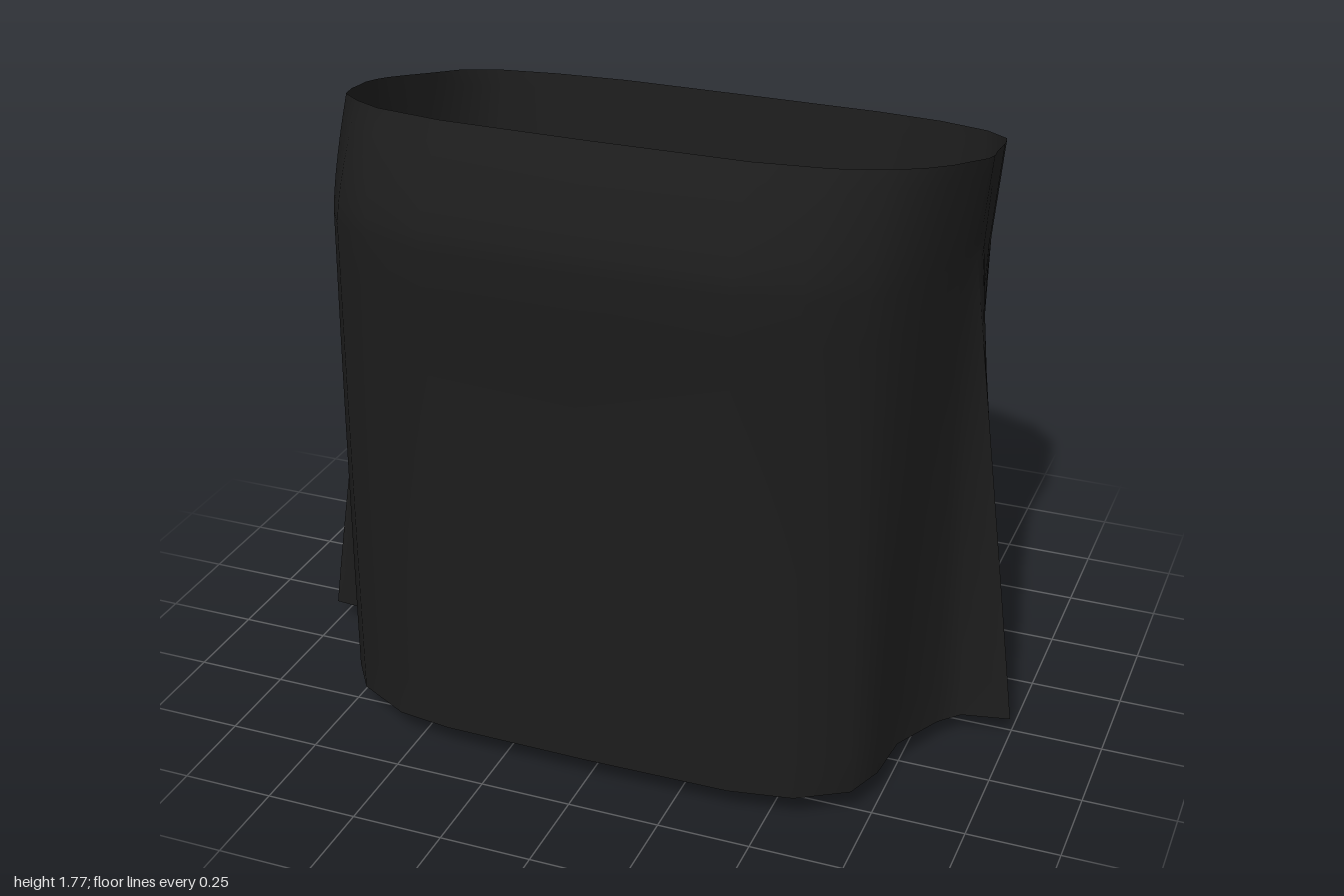
import * as THREE from 'three';

// Outlines as x, z pairs. Each panel runs from one side pleat tip to the other.
const frontHem = [1, .03, .87, .06, .82, .12, .75, .27, .74, .42, .70, .53, .57, .61, .4, .64, 0, .645,
  -.4, .64, -.55, .62, -.7, .54, -.77, .44, -.79, .30, -.83, .22, -.88, .16, -1, .15];
const frontChest = [.81, -.06, .805, .01, .80, .09, .78, .22, .75, .37, .69, .51, .56, .62, .4, .67, 0, .68,
  -.4, .67, -.57, .62, -.7, .53, -.77, .42, -.81, .29, -.84, .18, -.86, .09, -.86, 0];
const frontRim = [.83, -.1, .83, -.03, .81, .06, .79, .16, .75, .27, .69, .37, .58, .47, .4, .53, 0, .54,
  -.4, .53, -.6, .47, -.7, .39, -.78, .3, -.82, .2, -.84, .12, -.86, .05, -.87, -.03];

const backHem = [-1, .15, -.94, .10, -.88, .04, -.85, -.08, -.82, -.24, -.67, -.37, -.5, -.46, -.35, -.54, 0, -.555,
  .3, -.54, .55, -.49, .69, -.39, .77, -.25, .82, -.13, .88, -.1, .94, -.05, 1, .03];
const backChest = [-.86, 0, -.87, -.06, -.87, -.13, -.85, -.23, -.82, -.36, -.74, -.48, -.58, -.57, -.38, -.635, 0, -.64,
  .36, -.635, .55, -.59, .69, -.5, .77, -.38, .79, -.27, .80, -.18, .81, -.12, .81, -.06];
const backRim = [-.87, -.03, -.87, -.1, -.86, -.18, -.84, -.3, -.82, -.45, -.74, -.56, -.6, -.63, -.4, -.675, 0, -.678,
  .36, -.675, .55, -.64, .7, -.56, .78, -.45, .80, -.34, .81, -.24, .82, -.16, .83, -.1];

const COLS = 17, LOWER = 12, UPPER = 6, ROWS = LOWER + UPPER + 1;
const CHEST = 0.83; // share of the height where the pleats end
const lerp = THREE.MathUtils.lerp;

const hemY = z => 0.052 + 0.065 * z - 0.055 * z * z;
const rimY = z => 1.642 + 0.23 * z; // slanted neckline, higher in front

// Loft a panel through its hem, chest and rim outlines
function panelGeometry(hem, chest, rim) {
  const positions = [], index = [];
  for (let i = 0; i < ROWS; i++) {
    const lower = i <= LOWER;
    const s = lower ? i / LOWER : (i - LOWER) / UPPER;
    const v = lower ? s * CHEST : lerp(CHEST, 1, s);
    const [from, to] = lower ? [hem, chest] : [chest, rim];
    for (let j = 0; j < COLS; j++) {
      const k = j * 2, hz = hem[k + 1];
      const forward = THREE.MathUtils.clamp(hz / 0.64, 0, 1);
      // the front stays upright, then swells and rolls in at the rim
      const power = lower ? lerp(0.8, 2.5, forward) : lerp(1, 1.5, forward);
      positions.push(
        lerp(from[k], to[k], s),
        lerp(hemY(hz), rimY(rim[k + 1]), v),
        lerp(from[k + 1], to[k + 1], Math.pow(s, power)));
      if (i < ROWS - 1 && j < COLS - 1) {
        const a = i * COLS + j, b = a + 1, c = a + COLS, d = c + 1;
        index.push(a, c, b, b, c, d);
      }
    }
  }
  const geometry = new THREE.BufferGeometry();
  geometry.setAttribute('position', new THREE.Float32BufferAttribute(positions, 3));
  geometry.setIndex(index);
  geometry.computeVertexNormals();
  return geometry;
}

// Smooth the side seams above the pleats; below, the fold stays sharp
function blendSeams(front, back) {
  const f = front.attributes.normal, b = back.attributes.normal;
  const n = new THREE.Vector3(), m = new THREE.Vector3();
  for (let i = LOWER; i < ROWS; i++) {
    for (const j of [0, COLS - 1]) {
      const p = i * COLS + j, q = i * COLS + COLS - 1 - j;
      n.fromBufferAttribute(f, p).add(m.fromBufferAttribute(b, q)).normalize();
      f.setXYZ(p, n.x, n.y, n.z);
      b.setXYZ(q, n.x, n.y, n.z);
    }
  }
}

export function createModel() {
  const cloth = new THREE.MeshStandardMaterial({ color: 0x1c1c1c, side: THREE.DoubleSide });
  cloth.name = 'black cloth';

  const front = panelGeometry(frontHem, frontChest, frontRim);
  const back = panelGeometry(backHem, backChest, backRim);
  blendSeams(front, back);

  const group = new THREE.Group();
  group.name = 'tubeTop';
  for (const [name, geometry] of [['frontPanel', front], ['backPanel', back]]) {
    const mesh = new THREE.Mesh(geometry, cloth);
    mesh.name = name;
    group.add(mesh);
  }
  return group;
}
